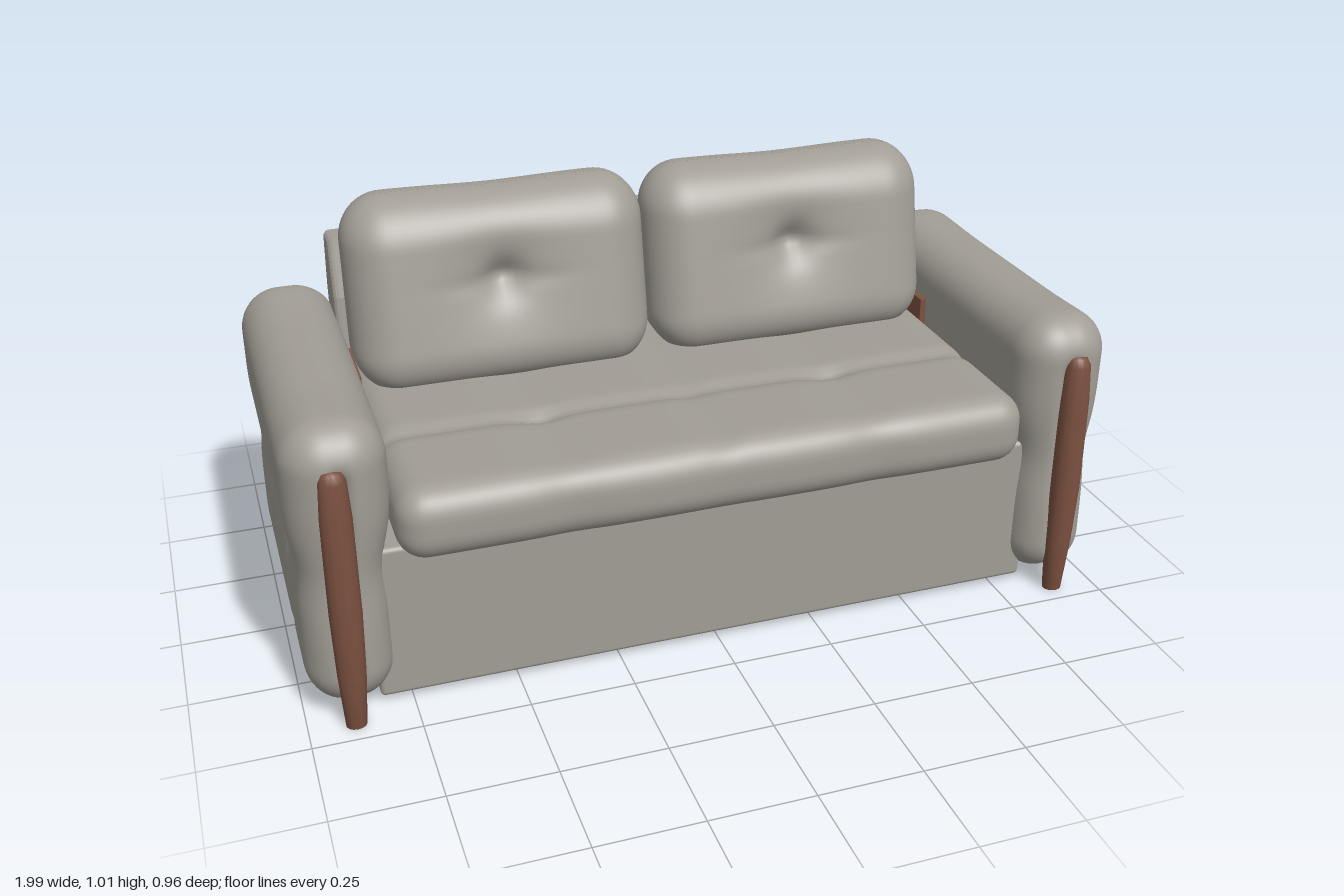
import * as THREE from 'three';
import { mergeVertices } from 'three/addons/utils/BufferGeometryUtils.js';
import { RoundedBoxGeometry } from 'three/addons/geometries/RoundedBoxGeometry.js';

const fabric = new THREE.MeshStandardMaterial({ color: 0xa19d95 });
fabric.name = 'greyFabric';
const wood = new THREE.MeshStandardMaterial({ color: 0x7b5140 });
wood.name = 'brownWood';

// Soft bell falloff and smooth 0..1 window between a and b
const bell = (d, width) => Math.exp(-(d / width) * (d / width));
const between = (v, a, b, soft = 0.05) =>
  THREE.MathUtils.smoothstep(v, a - soft, a + soft) * (1 - THREE.MathUtils.smoothstep(v, b - soft, b + soft));

// Dense rounded box placed at a centre, then reshaped by a rule on each vertex
function cushion(size, radius, segments, centre, rule) {
  let geo = new THREE.BoxGeometry(...size, ...segments);
  geo.deleteAttribute('uv');
  geo.deleteAttribute('normal');
  geo = mergeVertices(geo);
  const pos = geo.attributes.position;
  const inner = new THREE.Vector3(...size).multiplyScalar(0.5).subScalar(radius);
  const low = inner.clone().negate();
  const mid = new THREE.Vector3(...centre);
  const p = new THREE.Vector3(), core = new THREE.Vector3(), n = new THREE.Vector3();
  for (let i = 0; i < pos.count; i++) {
    p.fromBufferAttribute(pos, i);
    core.copy(p).clamp(low, inner);
    n.copy(p).sub(core).normalize();
    p.copy(core).addScaledVector(n, radius).add(mid);
    rule(p, n);
    pos.setXYZ(i, p.x, p.y, p.z);
  }
  geo.computeVertexNormals();
  return geo;
}

export function createModel() {
  const sofa = new THREE.Group();
  sofa.name = 'sofa';
  const add = (name, geo, mat) => {
    const mesh = new THREE.Mesh(geo, mat);
    mesh.name = name;
    sofa.add(mesh);
    return mesh;
  };

  // Plinth under the seat
  const base = new RoundedBoxGeometry(1.65, 0.39, 0.81, 3, 0.012);
  base.translate(0, 0.213, -0.015);
  add('base', base, fabric);

  // Tapered back frame, its side profile extruded across the width
  const profile = new THREE.Shape([
    [0.25, 0.05], [0.405, 0.05], [0.4, 0.73], [0.378, 0.862], [0.334, 0.862], [0.302, 0.73],
  ].map(([u, v]) => new THREE.Vector2(u, v)));
  const frame = new THREE.ExtrudeGeometry(profile, {
    depth: 1.52, bevelEnabled: true, bevelSize: 0.015, bevelThickness: 0.015, bevelSegments: 3,
  });
  frame.translate(0, 0, -0.76).rotateY(Math.PI / 2);
  add('backFrame', frame, fabric);

  // Long seat with a cross seam and two tufted seams
  const seat = cushion([1.53, 0.178, 0.83], 0.07, [84, 12, 48], [0, 0.475, 0.05], (p, n) => {
    const ribs = bell(Math.abs(p.x) - 0.37, 0.07);
    const top = Math.max(n.y, 0), front = Math.max(n.z, 0);
    const seam = bell(p.z - 0.15, 0.022);
    p.y -= top * (0.012 * seam + 0.007 * ribs + 0.014 * seam * bell(Math.abs(p.x) - 0.37, 0.05));
    p.y -= top * 0.006 * bell(p.x, 0.04);
    p.z -= front * (0.01 * ribs + 0.005 * bell(p.x, 0.08));
  });
  add('seatCushion', seat, fabric);

  for (const s of [1, -1]) {
    const side = s > 0 ? 'left' : 'right';

    // Plump back cushion, leaning back, with one button dent
    const back = cushion([0.752, 0.475, 0.236], 0.112, [44, 32, 20], [s * 0.379, 0.772, -0.225], (p, n) => {
      const dx = p.x - s * 0.379, dy = p.y - 0.8;
      if (n.z > 0) {
        p.z -= n.z * (0.035 * bell(Math.hypot(dx, dy), 0.05) + 0.022 * bell(dx, 0.13) * bell(dy, 0.12));
        p.z -= n.z * 0.008 * bell(dy, 0.02) * bell(dx, 0.12);
      }
      p.z += (0.86 - p.y) * (n.z > 0 ? 0.2 : 0.12);
      p.y -= 0.006 * bell(dx, 0.15) * Math.max(n.y, 0);
    });
    add(side + 'BackCushion', back, fabric);

    // Arm pad: round top roll, waist, narrower lower half, seamed ends
    const arm = cushion([0.234, 0.705, 0.93], 0.1, [22, 48, 52], [s * 0.88, 0.385, -0.015], (p, n) => {
      const out = s * p.x - 0.88;
      const lower = 1 - THREE.MathUtils.smoothstep(p.y, 0.3, 0.55);
      let x = out * (1 - 0.13 * lower - 0.08 * bell(p.y - 0.385, 0.07)) + 0.006 * lower;
      if (out > 0) {
        // Stitched creases and dents on the outer face
        const dents = bell(p.z - 0.18, 0.035) + bell(p.z + 0.12, 0.035);
        x -= Math.max(s * n.x, 0) * (0.012 * bell(p.y - 0.385, 0.02) * between(p.z, -0.12, 0.19, 0.03)
          + 0.012 * bell(p.y - 0.385, 0.035) * dents
          + 0.009 * bell(p.z - 0.16, 0.018) * between(p.y, 0.06, 0.36));
      }
      // Vertical groove in both end faces
      p.z -= n.z * 0.028 * bell(out, 0.02) * between(p.y, 0.11, 0.63, 0.03);
      if (n.z > 0) p.z -= n.z * 0.01 * bell(p.y - 0.36, 0.12);
      p.y -= Math.max(n.y, 0) * 0.007 * between(p.z, -0.3, 0.28, 0.12);
      p.x = s * (0.88 + x);
    });
    add(side + 'Arm', arm, fabric);

    // Tapered wooden post on the arm front, reaching the floor
    const post = new THREE.LatheGeometry([
      [0, 0], [0.024, 0], [0.033, 0.14], [0.037, 0.3], [0.036, 0.54], [0.031, 0.63], [0.021, 0.65], [0, 0.653],
    ].map(([r, y]) => new THREE.Vector2(r, y)), 14);
    const pos = post.attributes.position;
    for (let i = 0; i < pos.count; i++) {
      const y = pos.getY(i);
      pos.setZ(i, pos.getZ(i) * 0.9 + 0.442 + 0.008 * bell(y - 0.35, 0.25));
    }
    post.translate(s * 0.892, 0, 0);
    post.computeVertexNormals();
    add(side + 'FrontPost', post, wood);

    // Small wooden rail between back cushion and arm
    const rail = new THREE.BoxGeometry(0.03, 0.08, 0.2);
    rail.translate(s * 0.762, 0.56, -0.2);
    add(side + 'InnerRail', rail, wood);
  }
  return sofa;
}
